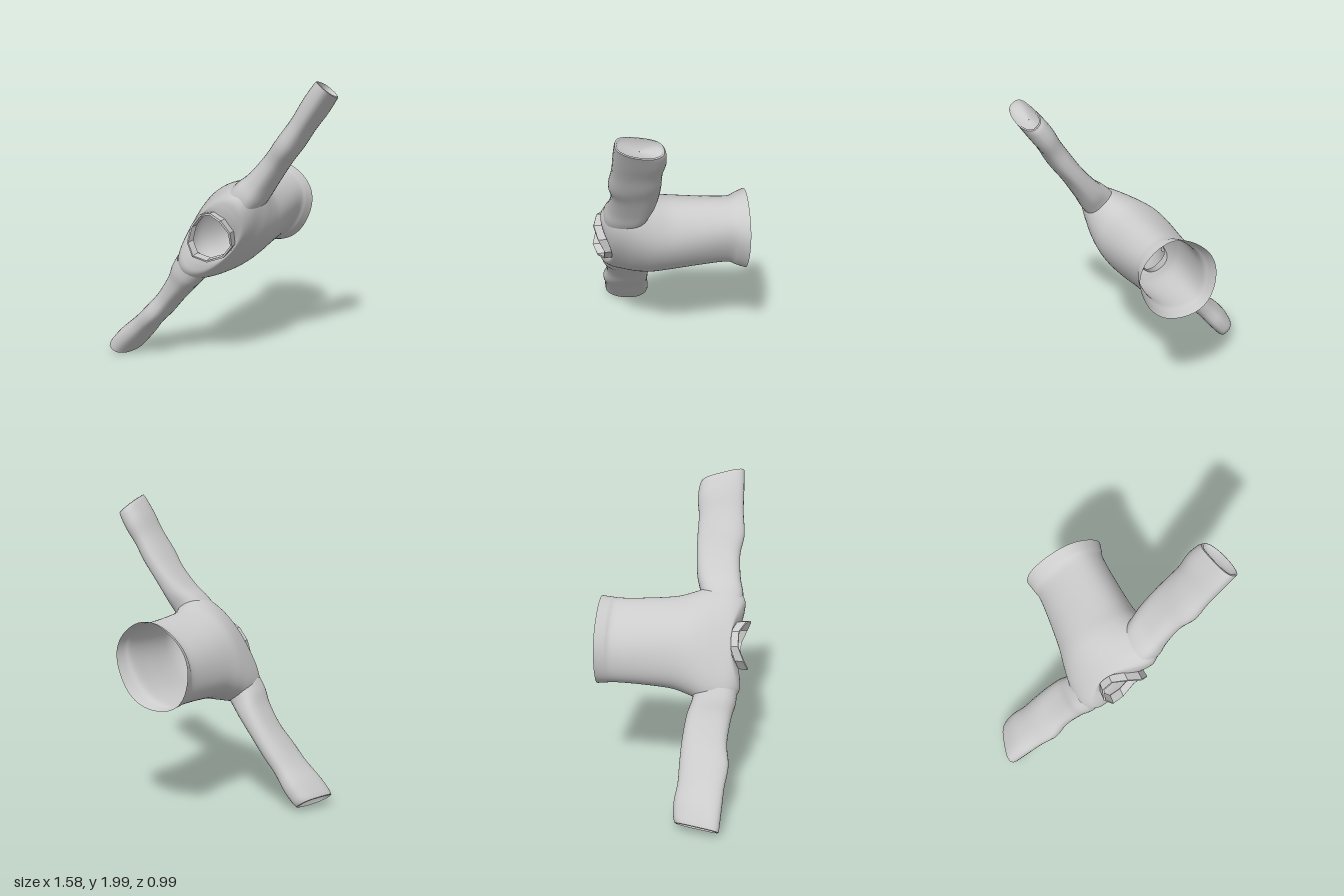
import * as THREE from 'three';

const TAU = Math.PI * 2;

// Smooth interpolation of rows of section values
function sample(rows, t) {
  const f = t * (rows.length - 1), i = Math.min(Math.floor(f), rows.length - 2), u = f - i;
  const at = k => rows[Math.max(0, Math.min(rows.length - 1, k))];
  return rows[i].map((p1, c) => {
    const p0 = at(i - 1)[c], p2 = at(i + 1)[c], p3 = at(i + 2)[c];
    return p1 + 0.5 * u * (p2 - p0 + u * (2 * p0 - 5 * p1 + 4 * p2 - p3 + u * (3 * (p1 - p2) + p3 - p0)));
  });
}

// Skin of closed rings: point(row values, angle) gives [x, y, z]; faces wholly inside a hole are left out
function skin(name, rows, steps, sides, point, { flat = false, hole = () => false } = {}) {
  const points = [], index = [];
  for (let i = 0; i <= steps; i++) {
    const row = sample(rows, i / steps);
    for (let j = 0; j < sides; j++) points.push(point(row, j / sides * TAU));
  }
  for (let i = 0; i < steps; i++) {
    for (let j = 0; j < sides; j++) {
      const a = i * sides + j, b = i * sides + (j + 1) % sides, c = b + sides, d = a + sides;
      if (![a, b, c, d].every(k => hole(points[k]))) index.push(a, b, c, a, c, d);
    }
  }
  const geo = new THREE.BufferGeometry();
  geo.setAttribute('position', new THREE.Float32BufferAttribute(points.flat(), 3));
  geo.setIndex(index);
  geo.computeVertexNormals();
  const mesh = new THREE.Mesh(geo, new THREE.MeshStandardMaterial({
    color: 0xcccccc, side: THREE.DoubleSide, flatShading: flat,
  }));
  mesh.name = name;
  return mesh;
}

const bend = (v, p) => Math.sign(v) * Math.abs(v) ** p;

export function createModel() {
  const garment = new THREE.Group();
  garment.name = 'garment';

  // Torso, flared hem to neckline: z, half width, half depth, depth centre, shoulder lift
  const torso = [
    [-0.49, 0.293, 0.254, -0.05, 0],
    [-0.43, 0.288, 0.228, -0.05, 0],
    [-0.37, 0.284, 0.203, -0.05, 0],
    [-0.2, 0.29, 0.213, -0.05, 0],
    [0, 0.308, 0.232, -0.05, 0],
    [0.12, 0.345, 0.235, -0.05, 0],
    [0.22, 0.385, 0.215, -0.05, 0],
    [0.3, 0.4, 0.187, -0.047, 0.01],
    [0.35, 0.38, 0.168, -0.046, 0.045],
    [0.38, 0.31, 0.156, -0.046, 0.068],
    [0.385, 0.235, 0.147, -0.046, 0.065],
    [0.375, 0.158, 0.14, -0.046, 0.06],
  ];
  const armhole = ([x, , z]) => Math.abs(x - 0.015) > 0.35 && z > 0.18 && z < 0.385;
  garment.add(skin('torso', torso, 77, 72, ([z, a, b, c, lift], t) => {
    const crease = 1 + 0.012 * Math.sin(5 * t + 3 * z);
    return [0.015 + a * crease * Math.cos(t), c + b * crease * Math.sin(t), z + lift * Math.cos(t) ** 2];
  }, { hole: armhole }));

  // Faceted collar, raised at both shoulders: radius offset, z, lift
  const collar = [
    [0.005, 0.375, 0.06], [0.01, 0.425, 0.07], [-0.002, 0.428, 0.07], [-0.007, 0.38, 0.06], [0.005, 0.375, 0.06],
  ];
  garment.add(skin('collar', collar, 4, 10, ([r, z, lift], t) => [
    0.02 + (0.157 + r) * Math.cos(t), -0.046 + (0.142 + r) * Math.sin(t), z + lift * Math.cos(t) ** 2,
  ], { flat: true }));

  // Sleeves: distance out, z centre, half height, half thickness, depth centre
  const sleeve = [
    [0.3, 0.3, 0.138, 0.108, -0.042],
    [0.38, 0.29, 0.143, 0.102, -0.043],
    [0.48, 0.265, 0.145, 0.083, -0.045],
    [0.64, 0.25, 0.146, 0.07, -0.042],
    [0.78, 0.258, 0.158, 0.071, -0.038],
    [0.92, 0.25, 0.15, 0.067, -0.025],
    [1.05, 0.24, 0.155, 0.073, -0.012],
    [1.15, 0.24, 0.15, 0.071, -0.006],
    [1.188, 0.245, 0.142, 0.068, -0.006],
  ];
  // Turned-in cuff with a shallow crumpled end
  const cuff = [
    [1.188, 0.245, 0.142, 0.068, -0.006],
    [1.191, 0.245, 0.132, 0.06, -0.006],
    [1.16, 0.245, 0.122, 0.05, -0.006],
    [1.145, 0.245, 0.002, 0.002, -0.006],
  ];
  // The two cuffs hang differently: slant along the sleeve, twist across it
  for (const [label, side, slant, twist] of [['left', 1, 0.3, 0.03], ['right', -1, 0.17, 0.18]]) {
    const section = ([s, zc, hz, hn, c], t) => {
      const dz = hz * bend(Math.sin(side * t), 0.8), end = THREE.MathUtils.smoothstep(s, 0.75, 1.18);
      const fold = 1 + 0.04 * Math.sin(3 * t + 9 * s);
      return [
        side * (s + slant * end * dz),
        c + hn * fold * bend(Math.cos(t), 0.8) + twist * end * dz,
        zc + dz,
      ];
    };
    garment.add(skin(label + 'Sleeve', sleeve, 40, 32, section));
    garment.add(skin(label + 'Cuff', cuff, 3, 32, section));
  }

  // Tilt so the sleeves run diagonally
  garment.rotation.z = Math.atan2(0.793, 0.609);
  garment.position.y = 1;
  const model = new THREE.Group();
  model.name = 'model';
  model.add(garment);
  return model;
}
